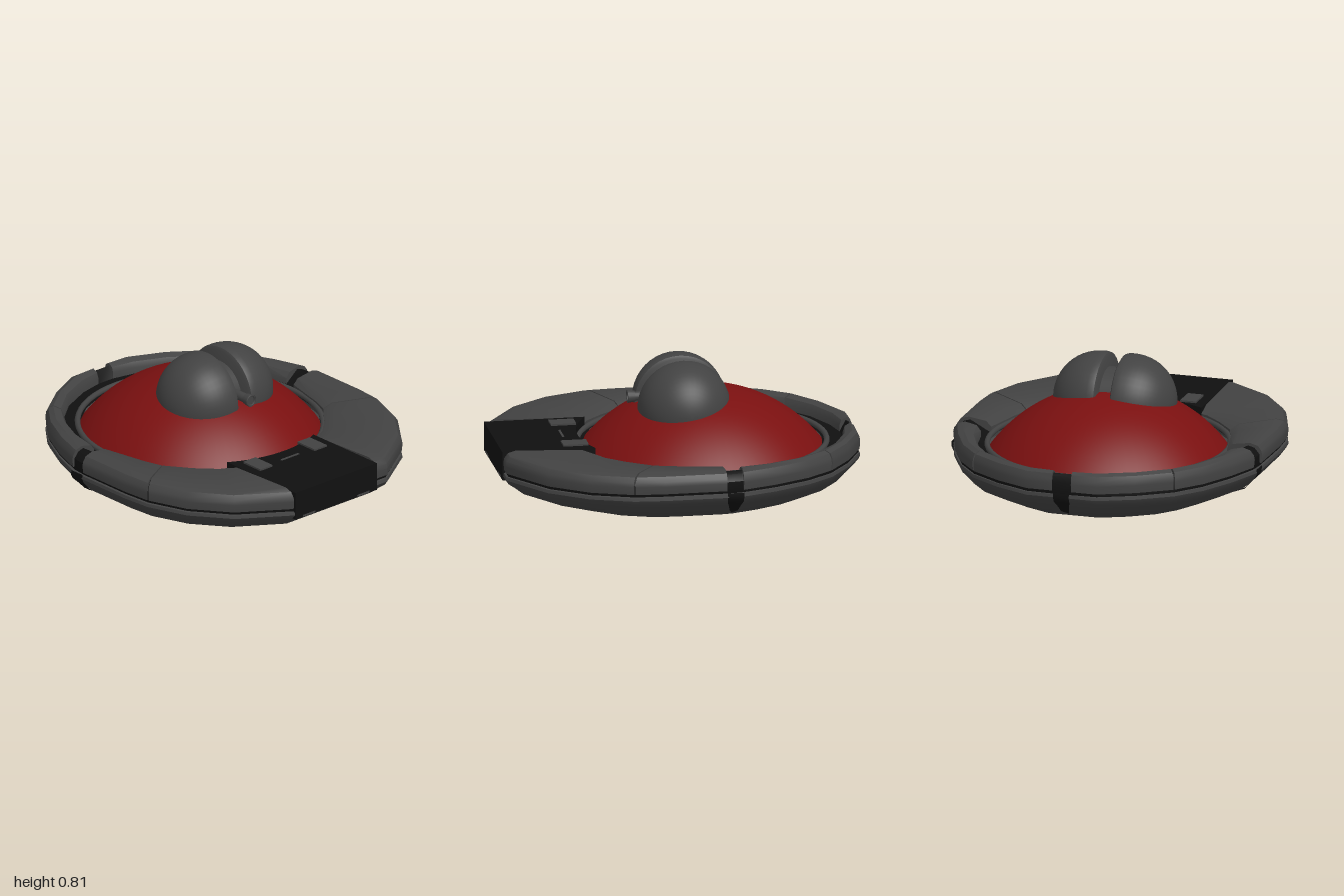
import * as THREE from 'three';
import { toCreasedNormals } from 'three/addons/utils/BufferGeometryUtils.js';

const mat = (name, color) => new THREE.MeshStandardMaterial({ name, color, side: THREE.DoubleSide });
const V = (x, y, z) => new THREE.Vector3(x, y, z);

// Half of the plan, back to front: outer x, z then inner x, z
const PLAN = [
  [0.05, -1, 0.05, -0.93], [0.2, -1, 0.19, -0.9], [0.4, -0.905, 0.37, -0.82], [0.58, -0.78, 0.52, -0.7],
  [0.7, -0.63, 0.61, -0.57], [0.8, -0.43, 0.68, -0.4], [0.87, -0.235, 0.71, -0.235],
  [0.88, -0.15, 0.68, -0.15], [0.88, 0.2, 0.62, 0.103], [0.865, 0.37, 0.585, 0.2],
  [0.78, 0.6, 0.48, 0.325], [0.62, 0.81, 0.38, 0.42], [0.34, 0.995, 0.34, 0.44], [0.26, 0.995, 0.26, 0.484],
];
const DOME_Z = -0.155;
const HULL_Z = -0.17;

// Skin over rows of points; every row is a closed section if closeRow is set
function loft(rows, closeRow, closeLoop, crease = 0.6) {
  const n = rows[0].length, m = rows.length, index = [];
  for (let i = 0; i < (closeLoop ? m : m - 1); i++) {
    for (let j = 0; j < (closeRow ? n : n - 1); j++) {
      const a = i * n + j, b = i * n + (j + 1) % n;
      const c = ((i + 1) % m) * n + j, d = ((i + 1) % m) * n + (j + 1) % n;
      index.push(a, c, b, b, c, d);
    }
  }
  const g = new THREE.BufferGeometry().setFromPoints(rows.flat());
  g.setIndex(index);
  return toCreasedNormals(g, crease);
}

// Point on a ring section: inset from the outer edge towards the inner one
function inset([ox, oz, ix, iz], d, y) {
  const len = Math.hypot(ix - ox, iz - oz);
  const k = d * Math.min(1, len / 0.16) / len;
  return V(ox + (ix - ox) * k, y, oz + (iz - oz) * k);
}
const across = ([ox, oz, ix, iz], k, y) => V(ox + (ix - ox) * k, y, oz + (iz - oz) * k);

// Rounded armour section, capped at both ends, with a small gap to its neighbours
function armour(points) {
  const p = points.map((q) => q.slice());
  const trim = (a, b) => {
    const k = 0.005 / Math.hypot(b[0] - a[0], b[1] - a[1]);
    return a.map((v, i) => v + (b[i] - v) * k);
  };
  const last = p.length - 1;
  const ends = [trim(p[0], p[1]), trim(p[last], p[last - 1])];
  p[0] = ends[0];
  p[last] = ends[1];
  const rows = p.map((q) => [
    across(q, 1, 0.3), across(q, 1, 0.365), across(q, 0.85, 0.395),
    inset(q, 0.07, 0.41), inset(q, 0.025, 0.397), inset(q, 0.005, 0.37),
    inset(q, 0, 0.345), inset(q, 0.005, 0.302),
  ]);
  const cap = (row) => {
    const c = row.reduce((s, v) => s.add(v), V(0, 0, 0)).divideScalar(row.length);
    return row.map(() => c.clone());
  };
  return loft([cap(rows[0]), ...rows, cap(rows[rows.length - 1])], true, false);
}

export function createModel() {
  const gray = mat('dark gray', 0x424242);
  const red = mat('deep red', 0x7a1010);
  const black = mat('black', 0x101010);
  const model = new THREE.Group();
  const add = (name, geometry, material, x = 0, y = 0, z = 0, parent = model) => {
    const mesh = new THREE.Mesh(geometry, material);
    mesh.name = name;
    mesh.position.set(x, y, z);
    parent.add(mesh);
    return mesh;
  };
  const mirror = (pts, s) => pts.map(([a, b, c, d]) => [a * s, b, c * s, d]);

  // Full plan loop
  const half = PLAN.slice(0, 13);
  const loop = [...half, ...mirror(half, -1).reverse()];

  // Shallow bowl hull with its lower rim band
  const hullProfile = [[0.975, 0.288], [0.997, 0.283], [1, 0.265], [0.985, 0.24], [0.955, 0.215], [0.91, 0.172],
    [0.725, 0.1], [0.455, 0.045], [0.23, 0.016], [0.001, 0.003]];
  add('hull', loft(hullProfile.map(([s, y]) =>
    loop.map(([x, z]) => V(x * s, y, HULL_Z + (z - HULL_Z) * s))), true, false, 0.5), gray);

  // Black core filling the seams, the gaps and the trough round the dome
  add('ringCore', loft(loop.map((q) => {
    const dx = q[2], dz = q[3] - DOME_Z, k = 0.66 / Math.hypot(dx, dz);
    return [inset(q, 0.03, 0.25), inset(q, 0.015, 0.28), inset(q, 0.015, 0.35), inset(q, 0.045, 0.385),
      inset(q, 0.08, 0.395), across(q, 1, 0.33), V(dx * k, 0.33, DOME_Z + dz * k)];
  }), false, true), black);

  // Armour sections on both sides
  const spans = [['backArmour', 0, 3], ['rearSideArmour', 3, 6], ['sideArmour', 7, 9], ['frontArmour', 9, 12]];
  for (const [side, s] of [['left', 1], ['right', -1]]) {
    for (const [name, from, to] of spans) {
      const end = name === 'frontArmour' && s === 1 ? 13 : to;
      add(`${side} ${name}`, armour(mirror(PLAN.slice(from, end + 1), s)), gray);
    }
  }

  // Tapering black notches running down onto the hull
  const notch = [[1.005, 0.29, 0.045], [1.006, 0.262, 0.045], [0.992, 0.238, 0.045],
    [0.96, 0.21, 0.035], [0.915, 0.167, 0.022], [0.83, 0.135, 0]];
  for (const [name, angle, reach, z] of [['leftNotch', 0, 0.874, -0.193], ['rightNotch', Math.PI, 0.874, -0.193],
    ['backNotch', Math.PI / 2, 0.83, HULL_Z]]) {
    const rows = notch.map(([s, y, w]) => [V(s * reach, y, -w), V(s * reach, y, w)]);
    add(name, loft(rows, false, false), black, 0, 0, z).rotation.y = angle;
  }

  // Front deck, cut round the dome
  const deck = [[0.26, 0.998], [-0.34, 0.998]];
  for (let i = 0; i <= 16; i++) {
    const x = -0.34 + 0.6 * i / 16;
    deck.push([x, DOME_Z + Math.sqrt(0.69 ** 2 - (x / 0.97) ** 2)]);
  }
  const deckGeo = new THREE.ExtrudeGeometry(new THREE.Shape(deck.map(([x, z]) => new THREE.Vector2(x, z))),
    { depth: 0.16, bevelEnabled: false });
  add('frontDeck', deckGeo.rotateX(Math.PI / 2), black, 0, 0.4, 0);
  for (const x of [-0.24, 0.16]) {
    add('deckTab', new THREE.BoxGeometry(0.09, 0.02, 0.14), gray, x, 0.4, 0.58);
    add('frontSlot', new THREE.BoxGeometry(0.09, 0.01, 0.004), gray, x, 0.247, 0.998);
  }
  add('deckBar', new THREE.BoxGeometry(0.13, 0.008, 0.012), gray, -0.04, 0.4, 0.62);

  // Red dome and its rim
  const dome = add('dome', new THREE.SphereGeometry(0.846, 64, 20, 0, Math.PI * 2, 0, 0.93), red, 0, -0.206, DOME_Z);
  dome.scale.x = 0.97;
  const rim = new THREE.TorusGeometry(0.685, 0.016, 8, 64).rotateX(Math.PI / 2);
  add('domeRim', rim, gray, 0, 0.34, DOME_Z).scale.x = 0.97;

  // Split turret with a hub and a short gun between the halves
  const turret = new THREE.Group();
  turret.name = 'turret';
  turret.position.set(0, 0.56, -0.04);
  model.add(turret);
  const profile = [[0, 0.042], [0.235, 0.042], [0.25, 0.05], [0.255, 0.065]];
  for (let i = 0; i <= 14; i++) {
    const a = Math.PI / 2 * i / 14;
    profile.push([0.255 * Math.cos(a), 0.09 + 0.255 * Math.sin(a)]);
  }
  const shell = toCreasedNormals(new THREE.LatheGeometry(
    profile.map(([r, y]) => new THREE.Vector2(Math.max(r, 0), y)), 40), 0.6);
  for (const s of [1, -1]) {
    add(s > 0 ? 'leftTurretHalf' : 'rightTurretHalf', shell, gray, 0, 0, 0, turret).rotation.z = -s * Math.PI / 2;
  }
  add('turretHub', new THREE.CylinderGeometry(0.175, 0.175, 0.1, 32).rotateZ(Math.PI / 2), gray, 0, 0, 0, turret);
  add('gunBarrel', new THREE.CylinderGeometry(0.026, 0.026, 0.15, 16).rotateX(Math.PI / 2), gray, 0, 0.047, 0.215, turret);
  add('gunMuzzle', new THREE.CylinderGeometry(0.036, 0.03, 0.04, 16, 1, true).rotateX(Math.PI / 2), gray, 0, 0.047, 0.28, turret);
  add('muzzleRing', new THREE.TorusGeometry(0.03, 0.006, 6, 16), gray, 0, 0.047, 0.296, turret);

  return model;
}
